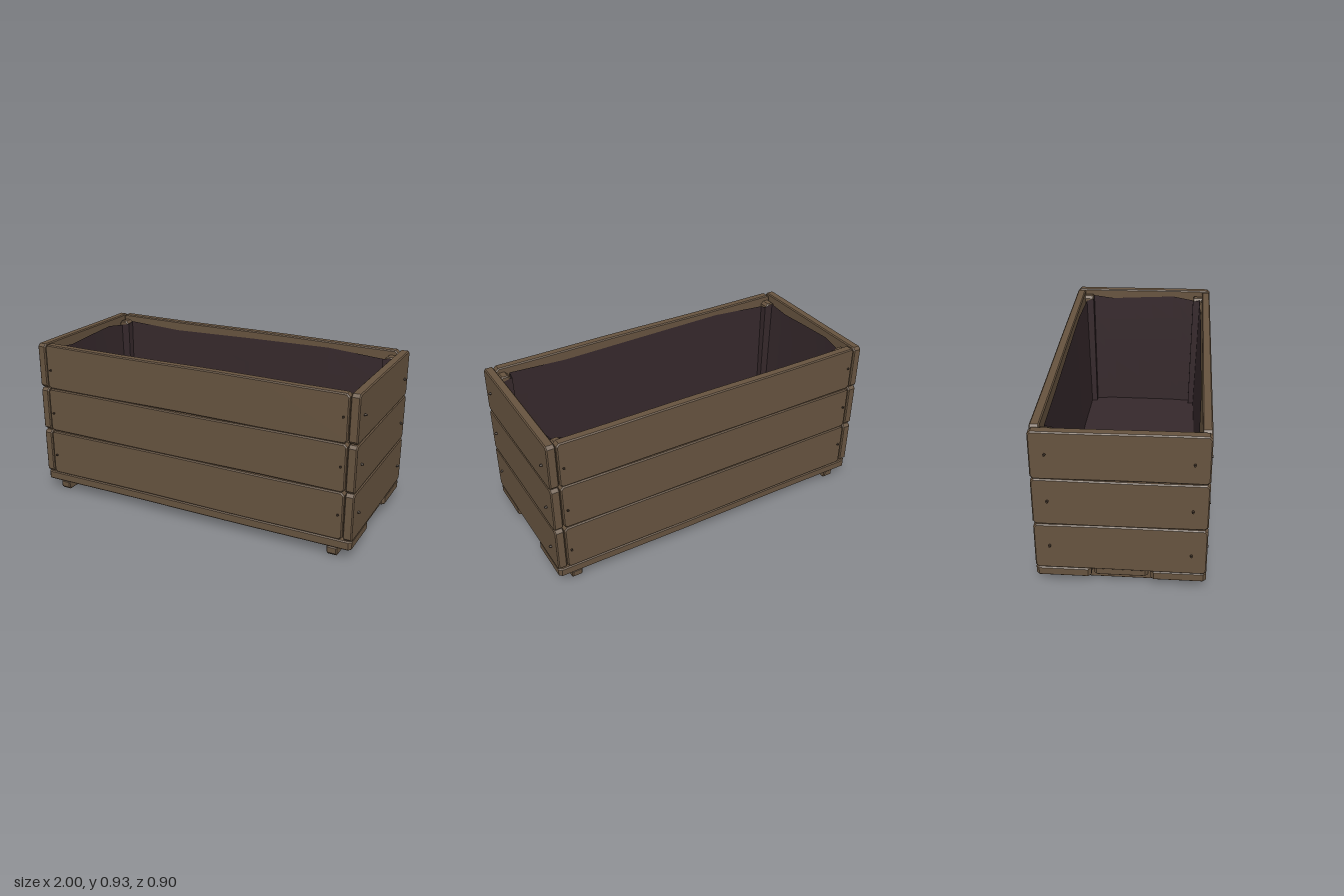
import * as THREE from 'three';
import { toCreasedNormals } from 'three/addons/utils/BufferGeometryUtils.js';

const wood = new THREE.MeshStandardMaterial({ color: 0x66533f });
wood.name = 'weathered wood';
const lining = new THREE.MeshStandardMaterial({ color: 0x35282b, side: THREE.DoubleSide });
lining.name = 'dark lining';
const iron = new THREE.MeshStandardMaterial({ color: 0x3d3127 });
iron.name = 'nail heads';

// Board with rounded outline: length along x, height along y, thickness along z, centred
function board(length, height, thick, seed = 0, wobble = 0.003) {
  const b = 0.006, r = 0.012, w = length / 2 - b, h = height / 2 - b;
  const shape = new THREE.Shape();
  const steps = 8;
  shape.moveTo(-w + r, -h);
  for (let i = 1; i <= steps; i++) shape.lineTo(-w + r + (2 * (w - r) * i) / steps, -h);
  shape.lineTo(w, -h + r);
  shape.lineTo(w, h - r);
  for (let i = steps; i >= 0; i--) shape.lineTo(-w + r + (2 * (w - r) * i) / steps, h);
  shape.lineTo(-w, h - r);
  shape.lineTo(-w, -h + r);
  const geo = new THREE.ExtrudeGeometry(shape, {
    depth: thick - 2 * b, bevelThickness: b, bevelSize: b, bevelSegments: 1,
  });
  geo.translate(0, 0, -(thick - 2 * b) / 2);
  // Slight hand-cut unevenness along the edges
  const p = geo.attributes.position;
  for (let i = 0; i < p.count; i++) {
    const x = p.getX(i), y = p.getY(i);
    p.setY(i, y + wobble * Math.sin(x * 5 + seed * 2.3 + (y > 0 ? 0 : 1)) * 0.6);
  }
  return toCreasedNormals(geo, 0.5);
}

function add(parent, name, geo, mat, x, y, z, ry = 0) {
  const mesh = new THREE.Mesh(geo, mat);
  mesh.name = name;
  mesh.position.set(x, y, z);
  mesh.rotation.y = ry;
  parent.add(mesh);
  return mesh;
}

// Lining outline at one height, stepping inward round the corner posts
function liningRing(t) {
  const ax = 0.925 - 0.02 * t, az = 0.385 - 0.02 * t;
  const cx = 0.862 - 0.01 * t, cz = 0.332 - 0.01 * t;
  const quarter = [[ax, 0], [ax, cz * 0.6], [ax - 0.01, cz], [cx, cz], [cx, az - 0.008], [cx * 0.6, az], [0, az]];
  const ring = [...quarter];
  ring.push(...quarter.slice(0, -1).reverse().map(([x, z]) => [-x, z]));
  ring.push(...quarter.slice(1).map(([x, z]) => [-x, -z]));
  ring.push(...quarter.slice(1, -1).reverse().map(([x, z]) => [x, -z]));
  return ring;
}

function liningWalls() {
  const levels = 5, pos = [], idx = [];
  const n = liningRing(0).length;
  for (let j = 0; j <= levels; j++) {
    const t = 1 - j / levels;
    liningRing(t).forEach(([x, z], i) => {
      const sag = 0.012 * Math.sin(i * 2.1);
      pos.push(x, 0.125 + (0.76 + sag) * (j / levels), z);
      if (j < levels) {
        const a = j * n + i, b = j * n + ((i + 1) % n);
        idx.push(a, b, a + n, b, b + n, a + n);
      }
    });
  }
  const geo = new THREE.BufferGeometry();
  geo.setAttribute('position', new THREE.Float32BufferAttribute(pos, 3));
  geo.setIndex(idx);
  return toCreasedNormals(geo, 0.6);
}

export function createModel() {
  const model = new THREE.Group();
  model.name = 'planterBox';

  // Three courses of side and end boards, with nails
  const nailGeo = new THREE.CylinderGeometry(0.006, 0.008, 0.03, 8);
  nailGeo.rotateX(Math.PI / 2);
  const rows = [[0.118, 0.39], [0.394, 0.66], [0.664, 0.93]];
  rows.forEach(([lo, hi], row) => {
    const course = new THREE.Group();
    course.name = 'course' + (row + 1);
    model.add(course);
    const y = (lo + hi) / 2, h = hi - lo;
    for (const s of [1, -1]) {
      const turn = s > 0 ? 0 : Math.PI;
      add(course, s > 0 ? 'frontBoard' : 'backBoard', board(1.865, h, 0.05, row + s), wood, 0, y, s * 0.415, turn);
      add(course, s > 0 ? 'leftBoard' : 'rightBoard', board(0.88, h, 0.05, row + s * 2), wood, s * 0.962, y, 0, s * Math.PI / 2);
      for (const e of [1, -1]) {
        const ny = y - 0.005 + e * s * 0.014;
        add(course, 'sideNail', nailGeo, iron, e * 0.905, ny, s * 0.433, turn);
        add(course, 'endNail', nailGeo, iron, s * 0.985, ny, e * 0.36, s * Math.PI / 2);
      }
    }
  });

  // Corner posts
  for (const sx of [1, -1]) for (const sz of [1, -1]) {
    const post = add(model, 'cornerPost', board(0.785, 0.062, 0.062, 0, 0.001), wood, sx * 0.902, 0.508, sz * 0.365);
    post.rotation.z = Math.PI / 2;
  }

  // Floor boards
  add(model, 'frontFloorBoard', lay(board(1.97, 0.285, 0.052, 1)), wood, 0, 0.091, 0.296);
  add(model, 'middleFloorBoard', lay(board(1.93, 0.285, 0.05, 2)), wood, 0, 0.091, 0);
  add(model, 'backFloorBoard', lay(board(1.97, 0.285, 0.052, 3)), wood, 0, 0.091, -0.296);

  // Runners under the floor
  for (const s of [1, -1]) {
    add(model, 'runner', board(0.84, 0.062, 0.06, s, 0.001), wood, s * 0.875, 0.034, 0, Math.PI / 2);
  }

  // Lining bag
  add(model, 'liningWalls', liningWalls(), lining, 0, 0, 0);
  const floorShape = new THREE.Shape(liningRing(1).map(([x, z]) => new THREE.Vector2(x, -z)));
  const floorGeo = new THREE.ShapeGeometry(floorShape).rotateX(-Math.PI / 2);
  add(model, 'liningFloor', floorGeo, lining, 0, 0.126, 0);

  return model;
}

// Turns an upright board flat
function lay(geo) {
  return geo.rotateX(-Math.PI / 2);
}
